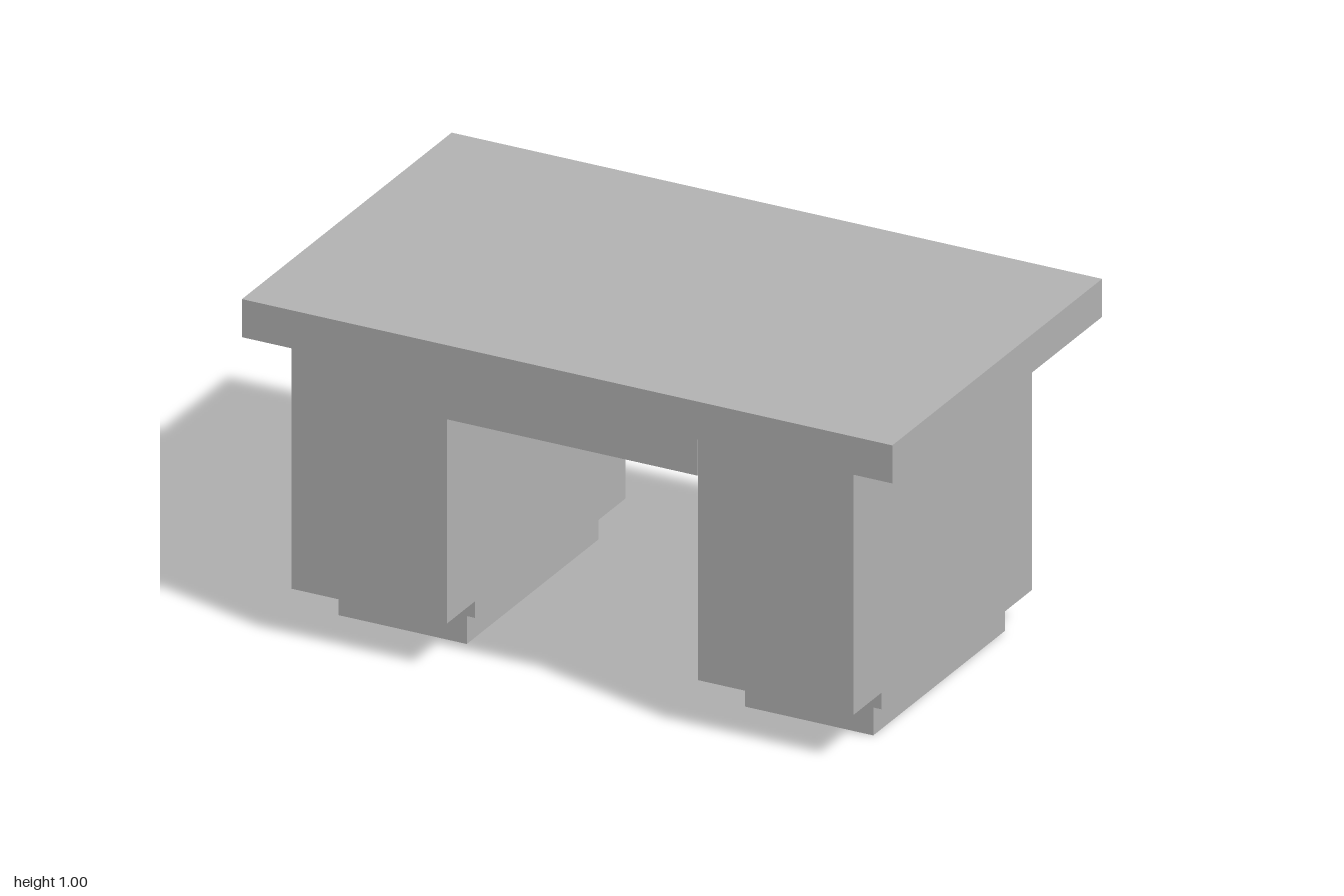
import * as THREE from 'three';

const grey = new THREE.MeshStandardMaterial({ color: 0xb2b2b2 });
grey.name = 'grey';

// Box given by its lower and upper corners
function box(name, [x0, y0, z0], [x1, y1, z1]) {
  const geometry = new THREE.BoxGeometry(x1 - x0, y1 - y0, z1 - z0);
  geometry.translate((x0 + x1) / 2, (y0 + y1) / 2, (z0 + z1) / 2);
  const mesh = new THREE.Mesh(geometry, grey);
  mesh.name = name;
  return mesh;
}

// Pedestal: side profile (z, y) with a toe notch at the front, on a recessed plinth
function pedestal(name, x) {
  const group = new THREE.Group();
  group.name = name;

  const width = 0.478;
  const profile = new THREE.Shape([
    [-0.465, 0.1], [0.405, 0.1], [0.405, 0.15],
    [0.568, 0.15], [0.568, 0.89], [-0.465, 0.89],
  ].map(([z, y]) => new THREE.Vector2(z, y)));
  const geometry = new THREE.ExtrudeGeometry(profile, { depth: width, bevelEnabled: false });
  geometry.translate(0, 0, -width / 2);
  geometry.rotateY(-Math.PI / 2);
  const cabinet = new THREE.Mesh(geometry, grey);
  cabinet.name = 'cabinet';

  group.add(cabinet, box('plinth', [-0.197, 0, -0.386], [0.197, 0.1, 0.374]));
  group.position.x = x;
  return group;
}

export function createModel() {
  const desk = new THREE.Group();
  desk.name = 'desk';
  desk.add(
    box('desktop', [-1, 0.89, -0.606], [1, 1.004, 0.606]),
    // Shallow drawer box bridging the pedestals, flush with their fronts
    box('centreDrawer', [-0.391, 0.762, -0.11], [0.381, 0.89, 0.568]),
    pedestal('rightPedestal', -0.629),
    pedestal('leftPedestal', 0.621),
  );
  return desk;
}
